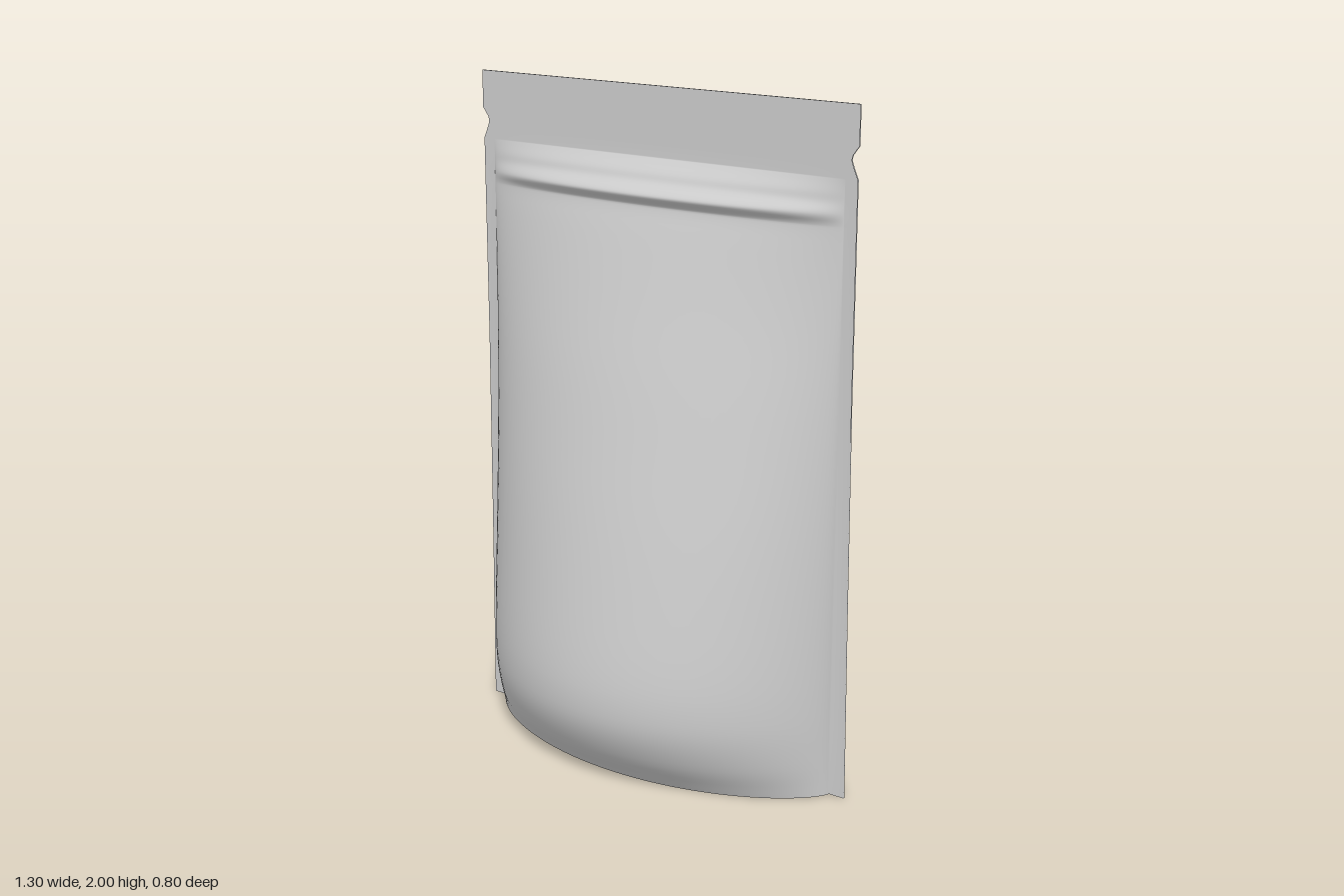
import * as THREE from 'three';

const SEAM = 0.6;      // half width of the inflated part
const SKIN = 0.002;    // half thickness of the sealed film

// [height, bulge depth at the middle], bottom to zip ridge to seal
const BULGE = [
  [0, 0.245], [0.03, 0.272], [0.1, 0.335], [0.19, 0.383], [0.28, 0.398], [0.4, 0.388],
  [0.6, 0.35], [0.8, 0.306], [1, 0.255], [1.2, 0.2], [1.4, 0.137], [1.58, 0.08],
  [1.655, 0.055], [1.675, 0.055], [1.695, 0.078], [1.71, 0.077], [1.735, 0.047],
  [1.76, 0.033], [1.785, 0.012], [1.8, 0],
];
// [height, half width], with the tear notch near the top
const EDGE = [
  [0, 0.65], [0.6, 0.643], [1.2, 0.638], [1.8, 0.638], [1.84, 0.621], [1.852, 0.618],
  [1.864, 0.621], [1.89, 0.64], [2, 0.64],
];

function halfWidth(y) {
  for (let i = 1; i < EDGE.length; i++) {
    const [y0, w0] = EDGE[i - 1], [y1, w1] = EDGE[i];
    if (y <= y1) return w0 + (w1 - w0) * (y - y0) / (y1 - y0);
  }
  return EDGE[EDGE.length - 1][1];
}

// Lens-shaped cross-section, 1 in the middle and 0 at the side seams
const lens = (x) => Math.pow(Math.max(0, 1 - (x / SEAM) ** 2), 0.72);

// Smooth surface through a grid of points
function gridSurface(rows) {
  const n = rows[0].length, index = [];
  for (let r = 0; r < rows.length - 1; r++) {
    for (let c = 0; c < n - 1; c++) {
      const a = r * n + c, b = a + 1, d = a + n, e = d + 1;
      index.push(a, b, e, a, e, d);
    }
  }
  const geometry = new THREE.BufferGeometry();
  geometry.setAttribute('position', new THREE.Float32BufferAttribute(rows.flat(2), 3));
  geometry.setIndex(index);
  geometry.computeVertexNormals();
  return geometry;
}

// Columns across the bulge, closer together near the seams
const COLUMNS = [];
for (let i = 0; i <= 48; i++) COLUMNS.push(-SEAM * Math.cos(Math.PI * i / 48));

function panelGeometry() {
  const curve = new THREE.SplineCurve(BULGE.map(([y, d]) => new THREE.Vector2(y, d)));
  const levels = curve.getPoints((BULGE.length - 1) * 4).map((p) => [p.x, Math.max(0, p.y)]);
  for (const [y] of EDGE) if (y > 1.8) levels.push([y, 0]);
  return gridSurface(levels.map(([y, depth]) => {
    const w = halfWidth(y);
    const row = COLUMNS.map((x) => [x, y, SKIN + depth * lens(x)]);
    return [[-w, y, SKIN], ...row, [w, y, SKIN]];
  }));
}

// Bottom fold, arched up into the pouch between the two rims
function gussetGeometry() {
  const rows = [];
  for (let j = 0; j <= 20; j++) {
    const v = -1 + j / 10;
    rows.push(COLUMNS.map((x) => [
      x,
      0.16 * (1 - v * v) * lens(x),
      v * (SKIN + BULGE[0][1] * lens(x)),
    ]));
  }
  return gridSurface(rows);
}

export function createModel() {
  const film = new THREE.MeshStandardMaterial({ color: 0xcccccc, side: THREE.DoubleSide });
  film.name = 'grey film';

  const pouch = new THREE.Group();
  pouch.name = 'pouch';
  const add = (name, geometry) => {
    const mesh = new THREE.Mesh(geometry, film);
    mesh.name = name;
    pouch.add(mesh);
    return mesh;
  };

  // Front and back share one panel shape
  const panel = panelGeometry();
  add('frontPanel', panel);
  add('backPanel', panel).rotation.y = Math.PI;
  add('bottomGusset', gussetGeometry());
  return pouch;
}
